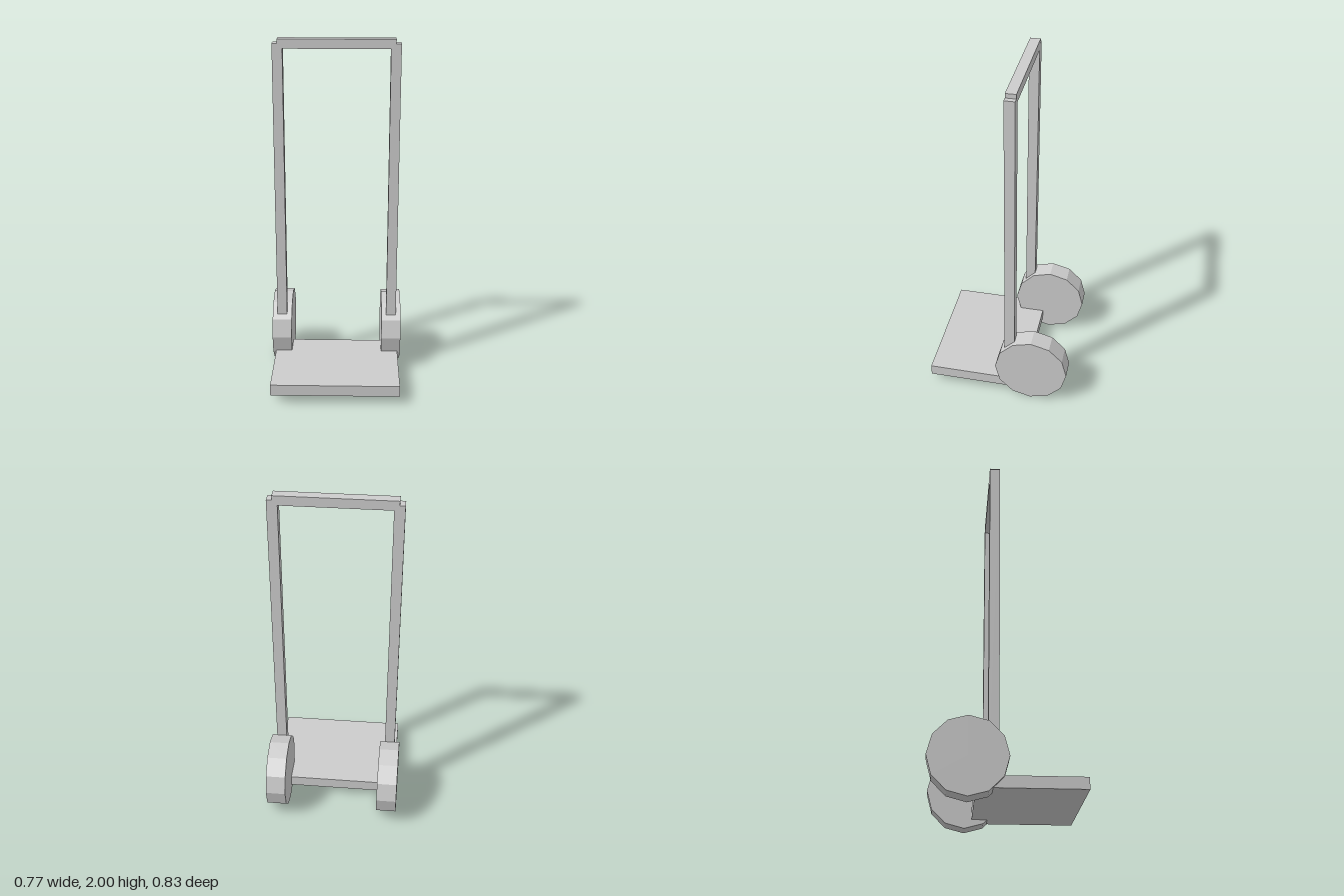
import * as THREE from 'three';

export function createModel() {
  const group = new THREE.Group();
  const grey = new THREE.MeshStandardMaterial({ color: 0xcccccc });
  grey.name = 'grey';

  const add = (name, geometry, x, y, z) => {
    const mesh = new THREE.Mesh(geometry, grey);
    mesh.name = name;
    mesh.position.set(x, y, z);
    group.add(mesh);
  };

  // Box given by its lower and upper corners
  const addBox = (name, [x0, y0, z0], [x1, y1, z1]) =>
    add(name, new THREE.BoxGeometry(x1 - x0, y1 - y0, z1 - z0),
      (x0 + x1) / 2, (y0 + y1) / 2, (z0 + z1) / 2);

  // Load plate and handle bar
  addBox('loadPlate', [-0.368, 0.052, -0.161], [0.368, 0.117, 0.413]);
  addBox('handleBar', [-0.329, 1.946, -0.1], [0.327, 2, -0.042]);

  // Twelve-sided wheel with a corner at the top, axle along x
  const wheel = new THREE.CylinderGeometry(0.213, 0.213, 0.115, 12).toNonIndexed();
  wheel.rotateZ(Math.PI / 2);
  wheel.computeVertexNormals();

  // Uprights rise out of the wheels on both sides
  for (const [side, x] of [['left', 0.327], ['right', -0.329]]) {
    addBox(side + 'Upright', [x - 0.029, 0.12, -0.1], [x + 0.029, 1.975, -0.042]);
    add(side + 'Wheel', wheel, x, 0.215, -0.202);
  }
  return group;
}
